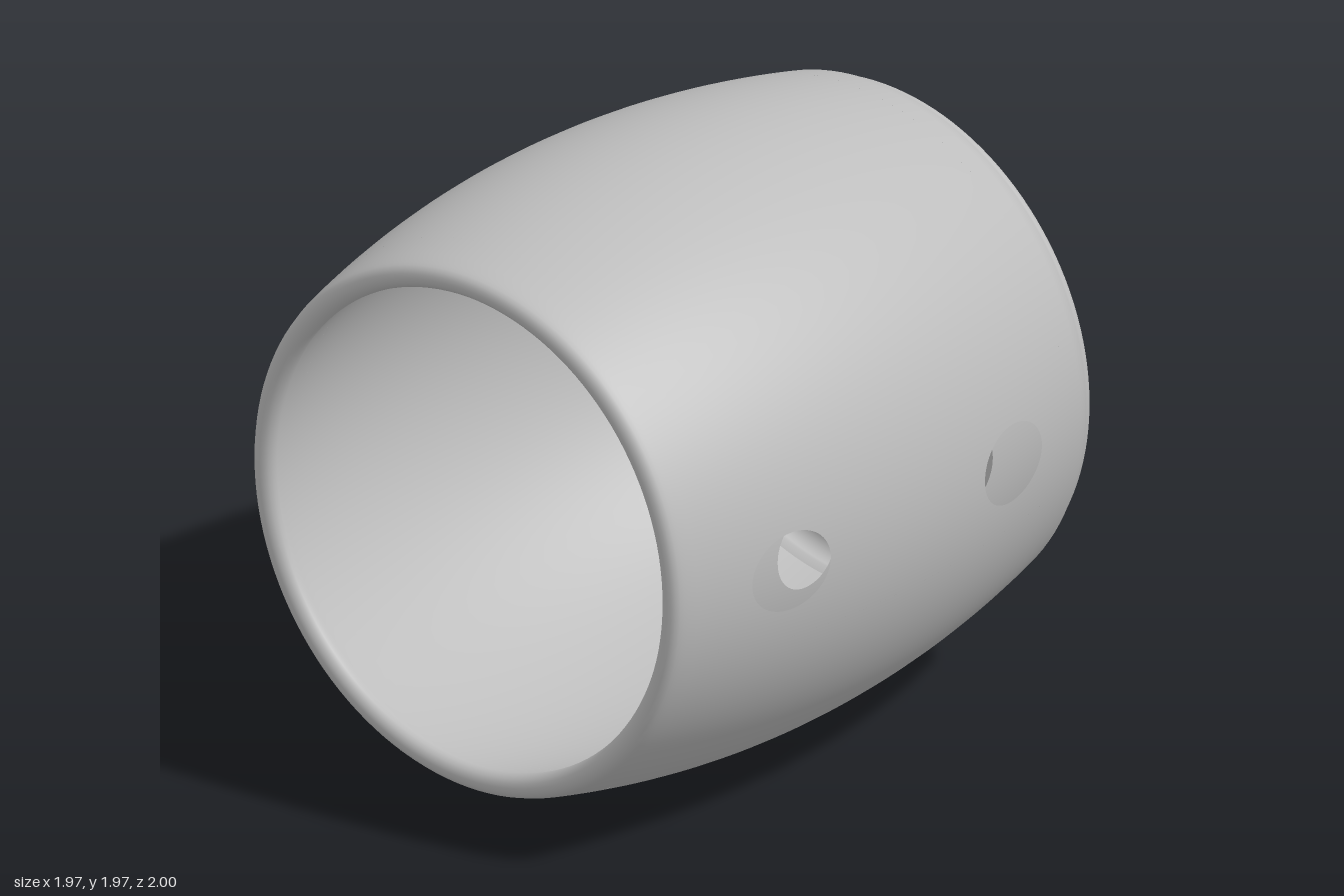
import * as THREE from 'three';

const RADIUS = 0.985, WEDGE = 0.25, BAND = 0.82;

// barrel curves along z
const outerR = z => RADIUS - (z < 0.05 ? 0.14 : 0.122) * ((z - 0.05) / (z < 0.05 ? 1.05 : 0.95)) ** 2;
const innerR = z => outerR(z) - 0.08;

function curvePoints(fn, from, to, steps) {
  const pts = [];
  for (let i = 0; i <= steps; i++) {
    const z = from + (to - from) * i / steps;
    pts.push(new THREE.Vector2(fn(z), z));
  }
  return pts;
}

const points = list => list.map(([r, z]) => new THREE.Vector2(r, z));

// quarter round from angle a0 to a1
function arc(r, z, rad, a0, a1) {
  const pts = [];
  for (let i = 0; i <= 8; i++) {
    const a = a0 + (a1 - a0) * i / 8;
    pts.push(new THREE.Vector2(r + rad * Math.cos(a), z + rad * Math.sin(a)));
  }
  return pts;
}

// wall patch beside +x with an oval hole, from z = lo to z = hi
function holedPatch(radius, lo, hi, hole, side) {
  const n = 64, rings = 8, pos = [], nor = [], idx = [];
  for (let j = 0; j <= rings; j++) {
    for (let i = 0; i <= n; i++) {
      const t = i / n * Math.PI * 2, c = Math.cos(t), s = Math.sin(t);
      const m = Math.max(Math.abs(c), Math.abs(s)), k = j / rings;
      const rectZ = c / m * (c > 0 ? hi - hole.z : hole.z - lo);
      const z = hole.z + (1 - k) * hole.a * c + k * rectZ;
      const angle = (1 - k) * hole.b * s / radius(hole.z) + k * WEDGE * s / m;
      const r = radius(z), slope = (radius(z + 0.001) - radius(z - 0.001)) / 0.002;
      pos.push(r * Math.cos(angle), r * Math.sin(angle), z);
      const v = new THREE.Vector3(Math.cos(angle), Math.sin(angle), -slope).normalize().multiplyScalar(side);
      nor.push(v.x, v.y, v.z);
      if (j < rings && i < n) {
        const a = j * (n + 1) + i, b = a + 1, d = a + n + 1, e = d + 1;
        if (side > 0) idx.push(a, b, d, d, b, e);
        else idx.push(a, d, b, d, e, b);
      }
    }
  }
  const g = new THREE.BufferGeometry();
  g.setAttribute('position', new THREE.Float32BufferAttribute(pos, 3));
  g.setAttribute('normal', new THREE.Float32BufferAttribute(nor, 3));
  g.setIndex(idx);
  return g;
}

export function createModel() {
  const group = new THREE.Group();
  group.name = 'barrelCup';
  const grey = new THREE.MeshStandardMaterial({ color: 0xbdbdbd, side: THREE.DoubleSide });
  grey.name = 'grey';

  const add = (name, geometry) => {
    const mesh = new THREE.Mesh(geometry, grey);
    mesh.name = name;
    mesh.position.y = RADIUS;
    group.add(mesh);
  };
  const lathe = (profile, segments, start, length) =>
    new THREE.LatheGeometry(profile, segments, start, length).rotateX(Math.PI / 2);

  // profile pieces, running from the closed back over the lip to the inner floor
  const back = [
    ...points([[0, -1], [0.78, -1], [0.795, -1]]),
    ...arc(0.805, -0.965, 0.035, -Math.PI / 2, 0.15),
    ...curvePoints(outerR, -0.93, -BAND, 4)];
  const outer = curvePoints(outerR, -BAND, BAND, 48);
  const lip = [
    ...curvePoints(outerR, BAND, 0.95, 4),
    ...arc(0.83, 0.96, 0.04, 0.1, Math.PI),
    ...curvePoints(innerR, 0.94, BAND, 4)];
  const inner = curvePoints(innerR, BAND, -BAND, 48);
  const floor = [
    ...arc(0.732, -0.84, 0.06, 0, -Math.PI / 2),
    ...points([[0.72, -0.9], [0, -0.9]])];

  // main shell, leaving a narrow gap along +x for the holed strip
  const start = Math.PI / 2 + WEDGE, length = Math.PI * 2 - WEDGE * 2;
  add('outerWall', lathe(outer, 120, start, length));
  add('innerWall', lathe(inner, 120, start, length));
  add('backCap', lathe(back, 128));
  add('rim', lathe(lip, 128));
  add('innerFloor', lathe([inner.at(-1), ...floor], 128));

  // two oval openings, the inner ones shifted toward the middle
  const holes = [
    { name: 'front', lo: 0, hi: BAND, outerZ: 0.55, innerZ: 0.41 },
    { name: 'rear', lo: -BAND, hi: 0, outerZ: -0.5, innerZ: -0.37 }];
  for (const h of holes) {
    add(h.name + 'OuterOpening', holedPatch(outerR, h.lo, h.hi, { z: h.outerZ, a: 0.16, b: 0.13 }, 1));
    add(h.name + 'InnerOpening', holedPatch(innerR, h.lo, h.hi, { z: h.innerZ, a: 0.12, b: 0.125 }, -1));
  }
  return group;
}
